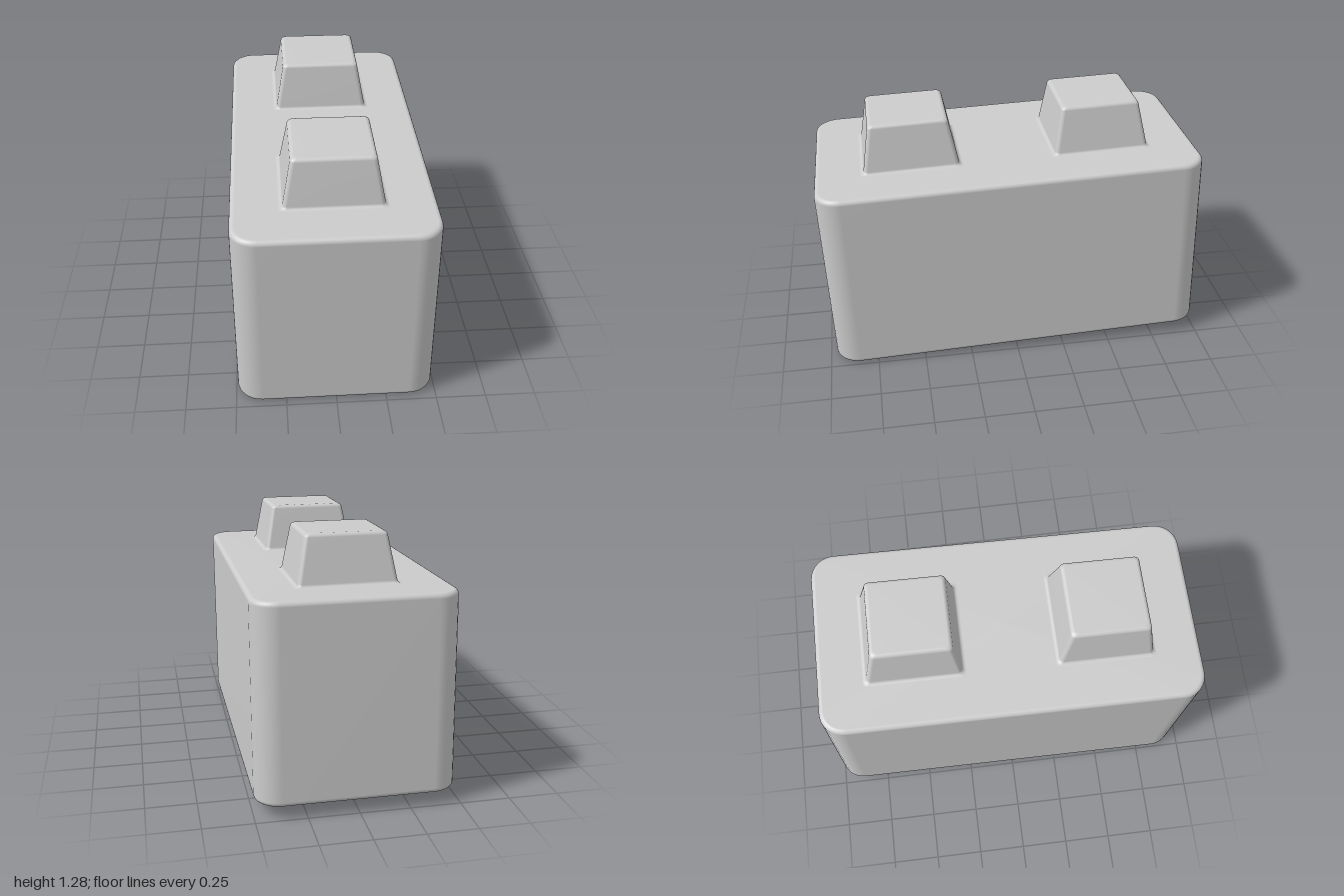
import * as THREE from 'three';

const W = 0.984, H = 0.984, L = 1.968;   // block width, height, length
const CORNER = 0.125, BEVEL = 0.025;     // upright corner radius, edge rounding
const TILT = 0.033;                      // whole block leans back-end up
const material = new THREE.MeshStandardMaterial({ color: 0xcccccc });

// Outline of a rounded rectangle as [x, z] points
function roundedRect(hx, hz, r, steps = 8) {
  const pts = [];
  [[1, 1], [-1, 1], [-1, -1], [1, -1]].forEach(([sx, sz], q) => {
    for (let i = 0; i <= steps; i++) {
      const t = (q + i / steps) * Math.PI / 2;
      pts.push([sx * (hx - r) + r * Math.cos(t), sz * (hz - r) + r * Math.sin(t)]);
    }
  });
  return pts;
}

// Skin over rings { hx, hz, r, y } from bottom to top, closed at the top
function loft(rings, inward = false) {
  const pos = [], index = [];
  const tri = (a, b, c) => (inward ? index.push(a, c, b) : index.push(a, b, c));
  let n = 0;
  for (const { hx, hz, r, y } of rings) {
    const pts = roundedRect(hx, hz, r);
    n = pts.length;
    for (const [x, z] of pts) pos.push(x, y, z);
  }
  const last = (rings.length - 1) * n, centre = rings.length * n;
  pos.push(0, rings[rings.length - 1].y, 0);
  for (let j = 0; j < n; j++) {
    const k = (j + 1) % n;
    for (let a = 0; a < last; a += n) {
      tri(a + j, a + n + j, a + k);
      tri(a + n + j, a + n + k, a + k);
    }
    tri(centre, last + k, last + j);
  }
  const geo = new THREE.BufferGeometry();
  geo.setAttribute('position', new THREE.Float32BufferAttribute(pos, 3));
  geo.setIndex(index);
  geo.computeVertexNormals();
  return geo;
}

function add(parent, name, geometry, x = 0, y = 0, z = 0) {
  const mesh = new THREE.Mesh(geometry, material);
  mesh.name = name;
  mesh.position.set(x, y, z);
  parent.add(mesh);
}

// Quarter-round steps, 0 to 90 degrees
const arc = Array.from({ length: 6 }, (_, i) => i / 5 * Math.PI / 2);

// Block walls and top with rounded edges
function bodyGeometry() {
  const ring = (inset, y) => ({ hx: W / 2 - inset, hz: L / 2 - inset, r: CORNER - inset, y });
  return loft([
    ...arc.map(t => ring(BEVEL * (1 - Math.sin(t)), -H / 2 + BEVEL * (1 - Math.cos(t)))),
    ...arc.map(t => ring(BEVEL * (1 - Math.cos(t)), H / 2 - BEVEL * (1 - Math.sin(t)))),
  ]);
}

// Tapered square peg; its base flares by `flare`, its top edge is rounded
function taperGeometry(base, top, height, flare, inward) {
  const round = 0.018, slope = (base - top) / height;
  const square = (h, y) => ({ hx: h, hz: h, r: 0.022, y });
  const foot = flare > 0
    ? arc.map(t => square(base - slope * flare * Math.sin(t) + flare * (1 - Math.sin(t)), flare * (1 - Math.cos(t))))
    : [square(base, 0)];
  const head = arc.map(t => {
    const y = height - round * (1 - Math.sin(t));
    return square(base - slope * y - round * (1 - Math.cos(t)), y);
  });
  return loft([...foot, ...head], inward);
}

// Underside plate with an opening for each socket
function undersideGeometry(socketHalf, centres) {
  const path = (pts, z = 0) => pts.map(p => new THREE.Vector2(p[0], p[1] + z));
  const shape = new THREE.Shape(path(roundedRect(W / 2 - BEVEL, L / 2 - BEVEL, CORNER - BEVEL)));
  for (const z of centres) {
    shape.holes.push(new THREE.Path(path(roundedRect(socketHalf, socketHalf, 0.022), z)));
  }
  return new THREE.ShapeGeometry(shape).rotateX(Math.PI / 2);
}

export function createModel() {
  const model = new THREE.Group();
  model.name = 'buildingBlock';
  const block = new THREE.Group();
  block.name = 'tiltedBlock';
  block.rotation.x = TILT;
  block.position.y = 0.523;
  model.add(block);

  const centres = [L / 4, -L / 4];
  const socketHalf = 0.256;
  add(block, 'body', bodyGeometry());
  add(block, 'underside', undersideGeometry(socketHalf, centres), 0, -H / 2, 0);

  // Studs on top, matching sockets below
  const stud = taperGeometry(0.245, 0.2, 0.246, 0.016, false);
  const socket = taperGeometry(socketHalf, 0.205, 0.28, 0, true);
  centres.forEach((z, i) => {
    const end = i === 0 ? 'front' : 'back';
    add(block, end + 'Stud', stud, 0, H / 2, z);
    add(block, end + 'Socket', socket, 0, -H / 2, z);
  });
  return model;
}
